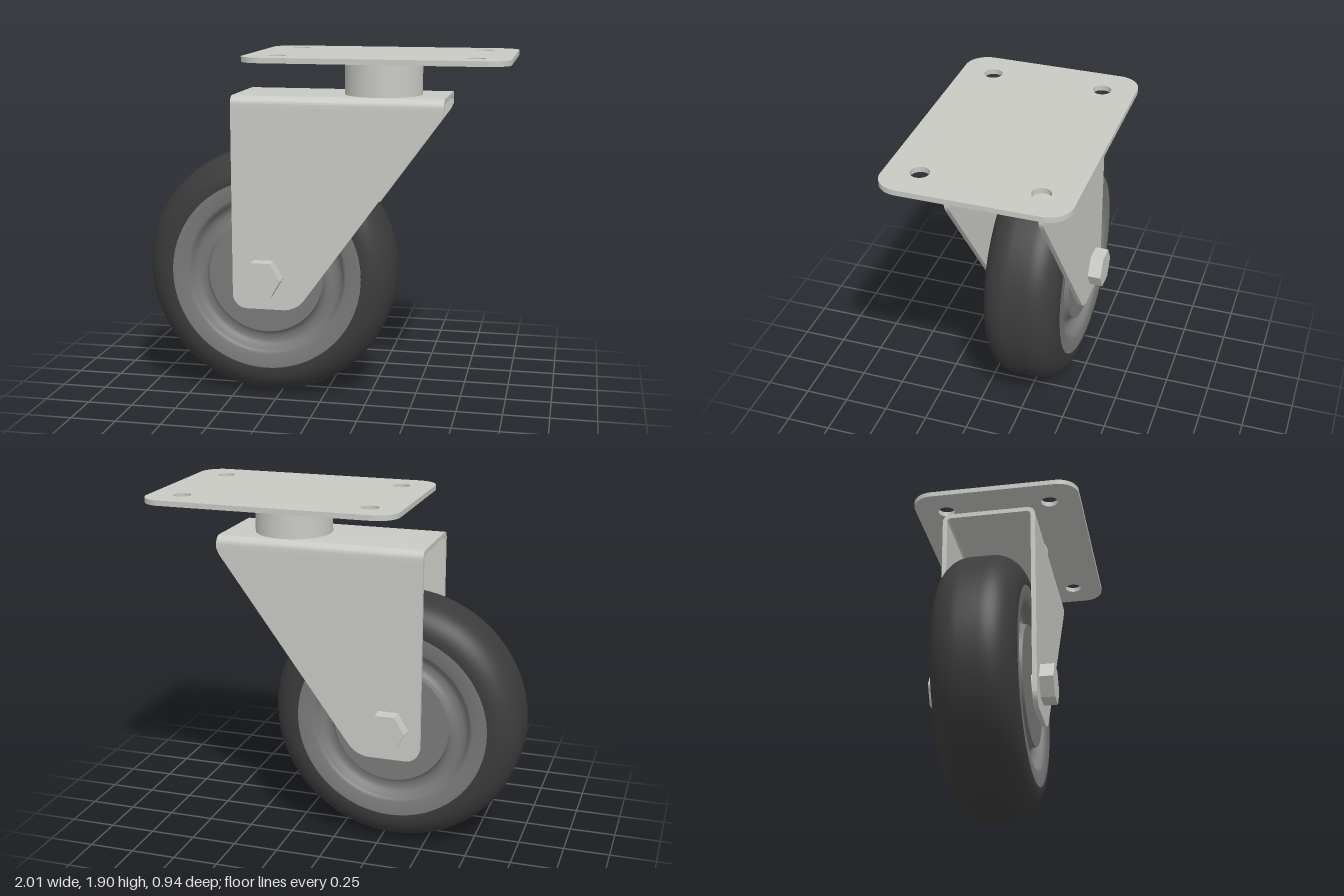
import * as THREE from 'three';
import { toCreasedNormals } from 'three/addons/utils/BufferGeometryUtils.js';

const AXLE_X = -0.31, AXLE_Y = 0.695;
const steel = new THREE.MeshStandardMaterial({ color: 0xc9cac4 });
const rubber = new THREE.MeshStandardMaterial({ color: 0x3c3c3c });
const hubGrey = new THREE.MeshStandardMaterial({ color: 0x7a7a7a });

function add(parent, name, geometry, material, x = 0, y = 0, z = 0) {
  const mesh = new THREE.Mesh(geometry, material);
  mesh.name = name;
  mesh.position.set(x, y, z);
  parent.add(mesh);
  return mesh;
}

const extrude = (shape, depth) => toCreasedNormals(
  new THREE.ExtrudeGeometry(shape, { depth, bevelEnabled: false, curveSegments: 16 }), 0.6);

// Closed outline whose corners [x, y, radius] are rounded
function roundedShape(corners) {
  const shape = new THREE.Shape();
  const n = corners.length;
  corners.forEach(([x, y, r = 0], i) => {
    const p = new THREE.Vector2(x, y);
    const toward = ([qx, qy]) => new THREE.Vector2(qx, qy).sub(p).setLength(r).add(p);
    const a = r ? toward(corners[(i + n - 1) % n]) : p;
    if (i === 0) shape.moveTo(a.x, a.y); else shape.lineTo(a.x, a.y);
    if (r) {
      const b = toward(corners[(i + 1) % n]);
      const k = 0.56;
      const c1 = a.clone().lerp(p, k), c2 = b.clone().lerp(p, k);
      shape.bezierCurveTo(c1.x, c1.y, c2.x, c2.y, b.x, b.y);
    }
  });
  shape.closePath();
  return shape;
}

// Turned part with its axis along z
function turned(points, crease) {
  const geometry = new THREE.LatheGeometry(points.map(([r, z]) => new THREE.Vector2(r, z)), 96);
  return toCreasedNormals(geometry.rotateX(Math.PI / 2), crease);
}

function createWheel() {
  const wheel = new THREE.Group();
  wheel.name = 'wheel';
  wheel.position.set(AXLE_X, AXLE_Y, 0);

  // Tyre: flat tread with large rounded shoulders
  const tyre = [[0.525, -0.2], [0.53, -0.215]];
  for (const side of [-1, 1]) {
    for (let i = 0; i <= 14; i++) {
      const t = (side < 0 ? i : 14 - i) / 14 * Math.PI / 2;
      tyre.push([0.535 + 0.16 * Math.sin(t), side * (0.055 + 0.16 * Math.cos(t))]);
    }
  }
  tyre.push([0.53, 0.215], [0.525, 0.2]);
  add(wheel, 'tyre', turned(tyre, 0.6), rubber);

  // Hub: flat rim, filleted annular recess and central boss, same on both faces
  const face = [[0, 0.205], [0.32, 0.205], [0.325, 0.18], [0.335, 0.162], [0.355, 0.152],
    [0.385, 0.15], [0.405, 0.157], [0.42, 0.172], [0.428, 0.19], [0.437, 0.204], [0.45, 0.21], [0.53, 0.212]];
  const hub = [...face.map(([r, z]) => [r, -z]), ...face.slice().reverse()];
  add(wheel, 'hub', turned(hub, 0.8), hubGrey);
  return wheel;
}

function createFork() {
  const fork = new THREE.Group();
  fork.name = 'fork';

  // Side plates, tapering down to the axle
  const leg = extrude(roundedShape([
    [-0.485, 1.61], [-0.485, 0.515, 0.08], [-0.13, 0.515, 0.07], [0.655, 1.6, 0.03], [0.655, 1.61],
  ]), 0.025);
  for (const [name, z] of [['leftLeg', 0.23], ['rightLeg', -0.255]]) {
    add(fork, name, leg, steel, 0, 0, z);
  }

  // Bent crown joining the two legs
  const crown = extrude(roundedShape([
    [-0.255, 1.61], [-0.23, 1.61], [-0.23, 1.655, 0.02], [0.23, 1.655, 0.02],
    [0.23, 1.61], [0.255, 1.61], [0.255, 1.68, 0.045], [-0.255, 1.68, 0.045],
  ]), 1.14).rotateY(Math.PI / 2);
  add(fork, 'crown', crown, steel, -0.485, 0, 0);
  return fork;
}

function createAxle() {
  const axle = new THREE.Group();
  axle.name = 'axle';
  axle.position.set(AXLE_X, AXLE_Y, 0);
  add(axle, 'axlePin', new THREE.CylinderGeometry(0.06, 0.06, 0.52, 32).rotateX(Math.PI / 2), steel);
  // Hexagonal bolt head and nut
  const hex = toCreasedNormals(
    new THREE.CylinderGeometry(0.109, 0.109, 0.077, 6).rotateY(Math.PI / 6).rotateX(Math.PI / 2), 0.3);
  add(axle, 'boltHead', hex, steel, 0, 0, 0.2915);
  add(axle, 'boltNut', hex, steel, 0, 0, -0.2915);
  return axle;
}

function createMount() {
  const mount = new THREE.Group();
  mount.name = 'mount';
  // Rounded plate with four bolt holes
  const plate = roundedShape([[-0.39, -0.472, 0.12], [1, -0.472, 0.12], [1, 0.472, 0.12], [-0.39, 0.472, 0.12]]);
  for (const x of [-0.215, 0.82]) {
    for (const y of [-0.298, 0.298]) {
      plate.holes.push(new THREE.Path().absarc(x, y, 0.048, 0, Math.PI * 2, true));
    }
  }
  add(mount, 'topPlate', extrude(plate, 0.028).rotateX(-Math.PI / 2), steel, 0, 1.872, 0);
  // Swivel housing between plate and fork
  add(mount, 'swivel', new THREE.CylinderGeometry(0.21, 0.21, 0.205, 64), steel, 0.302, 1.7725, 0);
  return mount;
}

export function createModel() {
  const model = new THREE.Group();
  model.name = 'caster';
  model.add(createWheel(), createFork(), createAxle(), createMount());
  return model;
}
